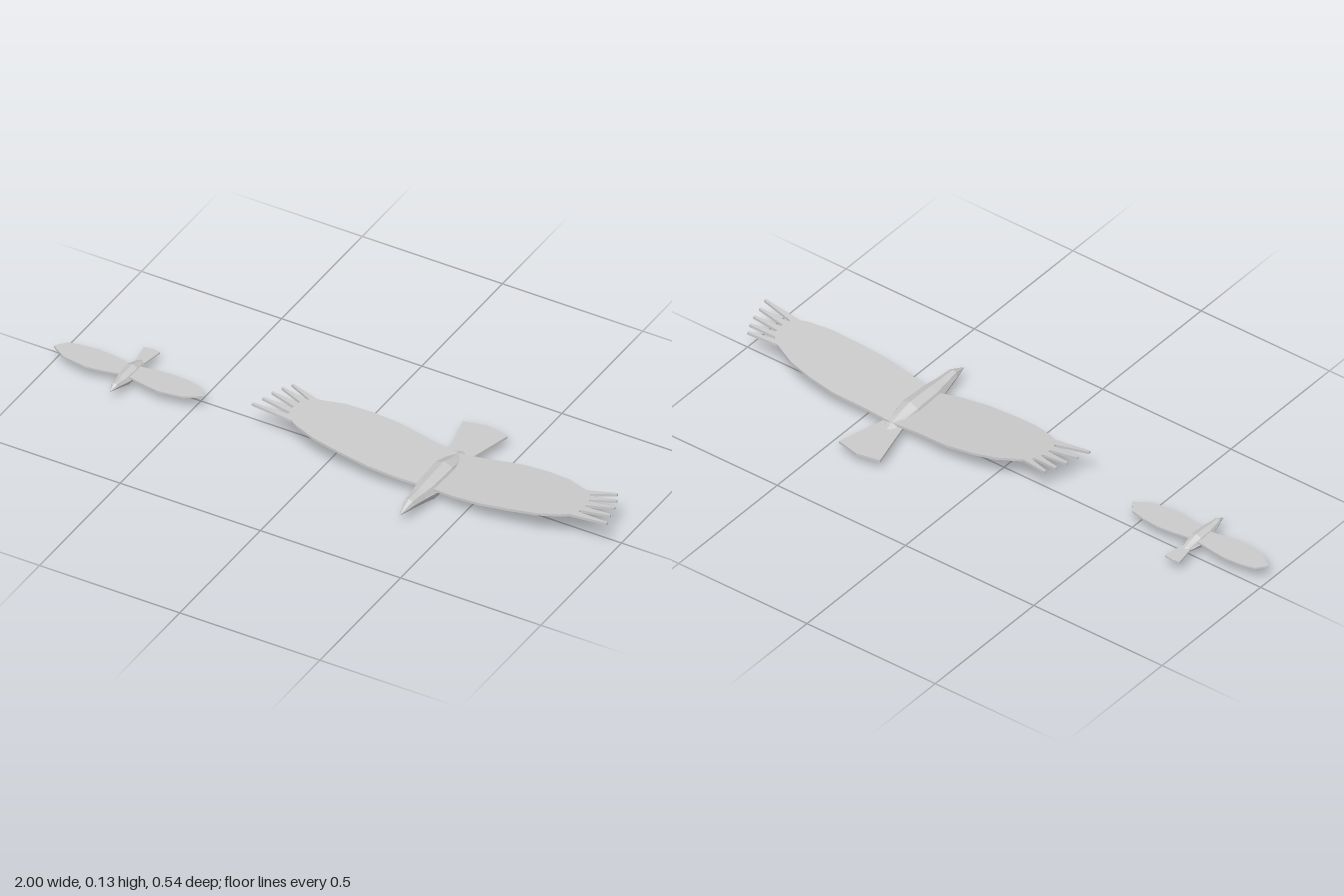
import * as THREE from 'three';

const material = new THREE.MeshStandardMaterial({ color: 0xcccccc, flatShading: true });

function mesh(name, geometry) {
  const m = new THREE.Mesh(geometry, material);
  m.name = name;
  return m;
}

// Flat plate from an [x, z] outline, its underside at y, rising by slope per unit of |x|
function plate(name, outline, y, thickness, slope = 0) {
  const shape = new THREE.Shape(outline.map(([x, z]) => new THREE.Vector2(x, -z)));
  const g = new THREE.ExtrudeGeometry(shape, { depth: thickness, bevelEnabled: false });
  g.rotateX(-Math.PI / 2);
  const p = g.attributes.position;
  for (let i = 0; i < p.count; i++) p.setY(i, p.getY(i) + y + slope * Math.abs(p.getX(i)));
  g.computeVertexNormals();
  return mesh(name, g);
}

// Eight-sided body: rings of [z, half width, bottom, top] from tail to beak
const RINGS = [
  [-0.12, 0.008, 0.038, 0.048],
  [-0.095, 0.028, 0.024, 0.056],
  [0, 0.043, 0, 0.083],
  [0.105, 0.038, 0.006, 0.08],
  [0.16, 0.027, 0.022, 0.076],
  [0.218, 0.018, 0.036, 0.076],
  [0.272, 0.002, 0.048, 0.052],
];

function body(rings) {
  const n = rings.length - 1;
  const g = new THREE.CylinderGeometry(1, 1, 1, 8, n);
  g.rotateX(Math.PI / 2);
  const p = g.attributes.position;
  for (let i = 0; i < p.count; i++) {
    const [z, w, low, high] = rings[Math.round((p.getZ(i) + 0.5) * n)];
    p.setXYZ(i, p.getX(i) * w, (low + high) / 2 + p.getY(i) * (high - low) / 2, z);
  }
  g.computeVertexNormals();
  return mesh('body', g);
}

const mirrored = (points, side) => points.map(([x, z]) => [x * side, z]);

// Soaring bird with raised wings and spread wingtip feathers
function largeBird() {
  const bird = new THREE.Group();
  bird.name = 'largeBird';
  bird.add(body(RINGS));
  bird.add(plate('tail', [[-0.035, -0.08], [0.035, -0.08], [0.08, -0.255], [0, -0.272], [-0.08, -0.255]], 0.039, 0.009));

  const wing = [[0, -0.09], [0.1, -0.095], [0.22, -0.107], [0.32, -0.1], [0.4, -0.085], [0.48, -0.05], [0.515, -0.02],
    [0.522, 0.03], [0.515, 0.077], [0.47, 0.1], [0.4, 0.12], [0.3, 0.13], [0.2, 0.135], [0.1, 0.128], [0, 0.11]];
  // Each feather: root x, root z, tip x, tip z
  const feathers = [[0.49, 0.074, 0.633, 0.088], [0.5, 0.044, 0.62, 0.045], [0.5, 0.015, 0.611, 0.003],
    [0.49, -0.012, 0.597, -0.035], [0.465, -0.035, 0.58, -0.068]];

  for (const side of [1, -1]) {
    const group = new THREE.Group();
    group.name = side > 0 ? 'leftWing' : 'rightWing';
    group.add(plate('wingPanel', mirrored(wing, side), 0.048, 0.009, 0.12));
    for (const [x0, z0, x1, z1] of feathers) {
      const blade = [[x0, z0 - 0.013], [x0, z0 + 0.013], [x1, z1 + 0.004], [x1, z1 - 0.004]];
      group.add(plate('wingtipFeather', mirrored(blade, side), 0.048, 0.009, 0.12));
    }
    bird.add(group);
  }
  return bird;
}

// Small bird with level wings
function smallBird() {
  const bird = new THREE.Group();
  bird.name = 'smallBird';
  bird.add(body(RINGS.map(([z, w, low, high]) => [z * 0.5 + 0.021, w * 0.62, low * 0.6 + 0.02, high * 0.6 + 0.02])));
  bird.add(plate('tail', [[-0.013, -0.01], [0.013, -0.01], [0.029, -0.101], [0, -0.105], [-0.029, -0.101]], 0.043, 0.006));

  const wing = [[0, 0.008], [0.03, 0.004], [0.08, -0.004], [0.13, -0.009], [0.19, -0.004], [0.238, 0.007],
    [0.267, 0.043], [0.215, 0.077], [0.13, 0.09], [0.08, 0.083], [0, 0.066]];
  for (const side of [1, -1]) {
    bird.add(plate(side > 0 ? 'leftWing' : 'rightWing', mirrored(wing, side), 0.052, 0.006));
  }
  return bird;
}

export function createModel() {
  const model = new THREE.Group();
  model.name = 'birds';
  const large = largeBird();
  large.position.x = 0.367;
  const small = smallBird();
  small.position.x = -0.733;
  model.add(large, small);
  return model;
}
